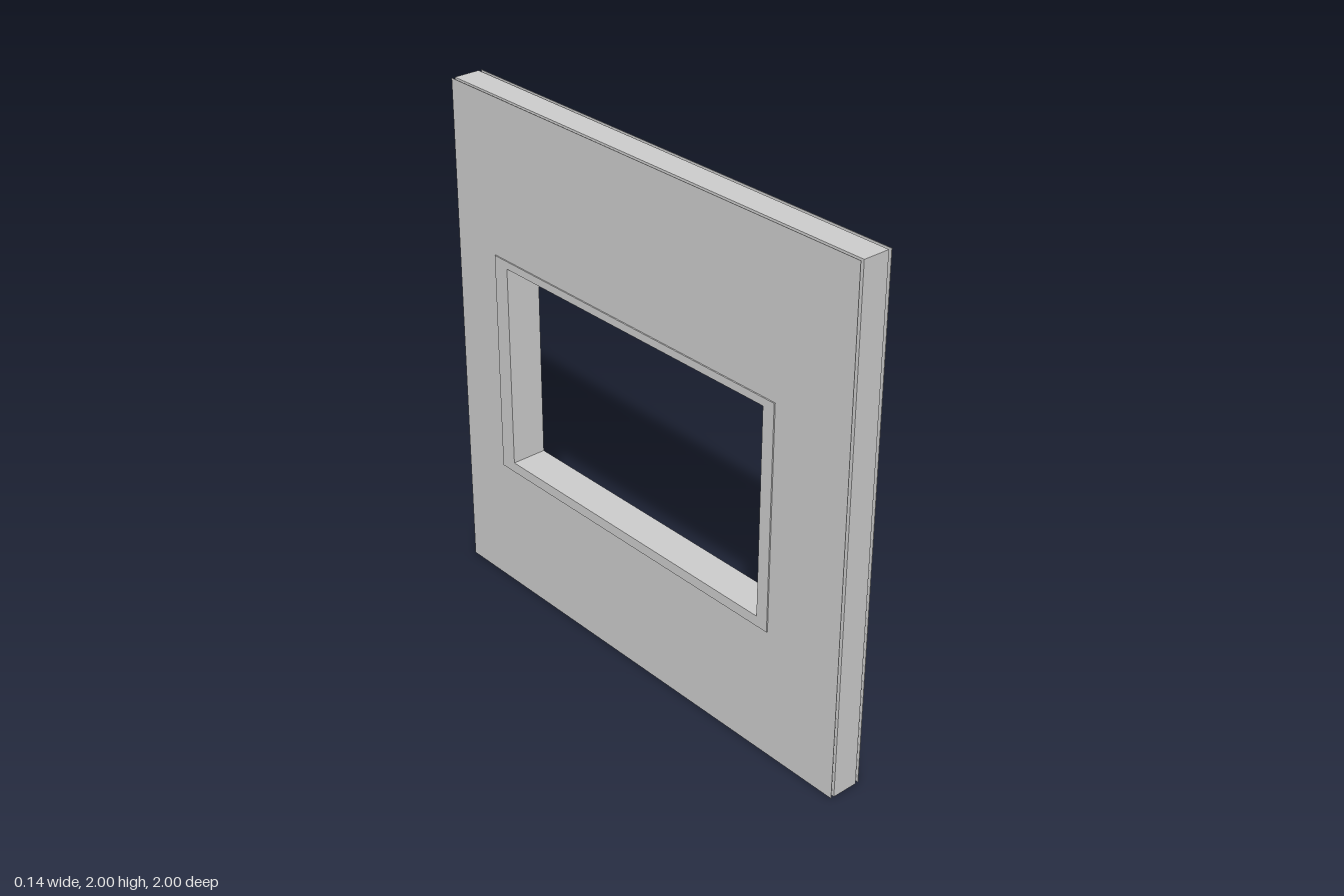
import * as THREE from 'three';

const CORE = 0.104;          // thickness of the timber and infill
const SKIN = 0.066;          // outer face of each skin from the centre
const FRAME = 0.142;         // thickness of the window frame
const TIMBER = 0.126;        // height of plates and studs
const CORE_BACK = -0.865;    // the core stops short here, leaving a joint slot

// Rectangles in the wall plane: z range, y range
const opening = { z0: -0.71, z1: 0.62, y0: 0.55, y1: 1.36 };
const frameOuter = { z0: -0.78, z1: 0.67, y0: 0.51, y1: 1.39 };
const wall = { z0: -1, z1: 1, y0: 0, y1: 2 };

const material = new THREE.MeshStandardMaterial({ color: 0xcccccc, side: THREE.DoubleSide });

// Rectangle with a rectangular hole, extruded along x and centred on centreX
function panelWithHole(name, outer, hole, thickness, centreX = 0) {
  const corners = (r) => [[r.z0, r.y0], [r.z1, r.y0], [r.z1, r.y1], [r.z0, r.y1]]
    .map(([z, y]) => new THREE.Vector2(-z, y));
  const shape = new THREE.Shape(corners(outer));
  shape.holes.push(new THREE.Path(corners(hole)));
  const geometry = new THREE.ExtrudeGeometry(shape, { depth: thickness, bevelEnabled: false });
  geometry.translate(0, 0, -thickness / 2);
  geometry.rotateY(Math.PI / 2);
  geometry.translate(centreX, 0, 0);
  const mesh = new THREE.Mesh(geometry, material);
  mesh.name = name;
  return mesh;
}

// Solid timber filling a rectangle of the wall plane
function timber(name, z0, z1, y0, y1) {
  const mesh = new THREE.Mesh(new THREE.BoxGeometry(CORE, y1 - y0, z1 - z0), material);
  mesh.position.set(0, (y0 + y1) / 2, (z0 + z1) / 2);
  mesh.name = name;
  return mesh;
}

export function createModel() {
  const group = new THREE.Group();
  group.name = 'wallPanel';

  // Thin skins, held slightly away from the core
  const sheet = 0.002;
  for (const [name, side] of [['leftSkin', 1], ['rightSkin', -1]]) {
    group.add(panelWithHole(name, wall, opening, sheet, side * (SKIN - sheet / 2)));
  }

  // Timber perimeter: plates run full length, the stud closes only the front end
  group.add(timber('bottomPlate', -1, 1, 0, TIMBER));
  group.add(timber('topPlate', -1, 1, 2 - TIMBER, 2));
  group.add(timber('frontStud', 1 - TIMBER, 1, TIMBER, 2 - TIMBER));

  // Infill around the window
  const infill = { z0: CORE_BACK, z1: 1 - TIMBER, y0: TIMBER, y1: 2 - TIMBER };
  group.add(panelWithHole('core', infill, frameOuter, CORE));

  // Window frame lining the opening, just proud of both skins
  group.add(panelWithHole('windowFrame', frameOuter, opening, FRAME));

  return group;
}
